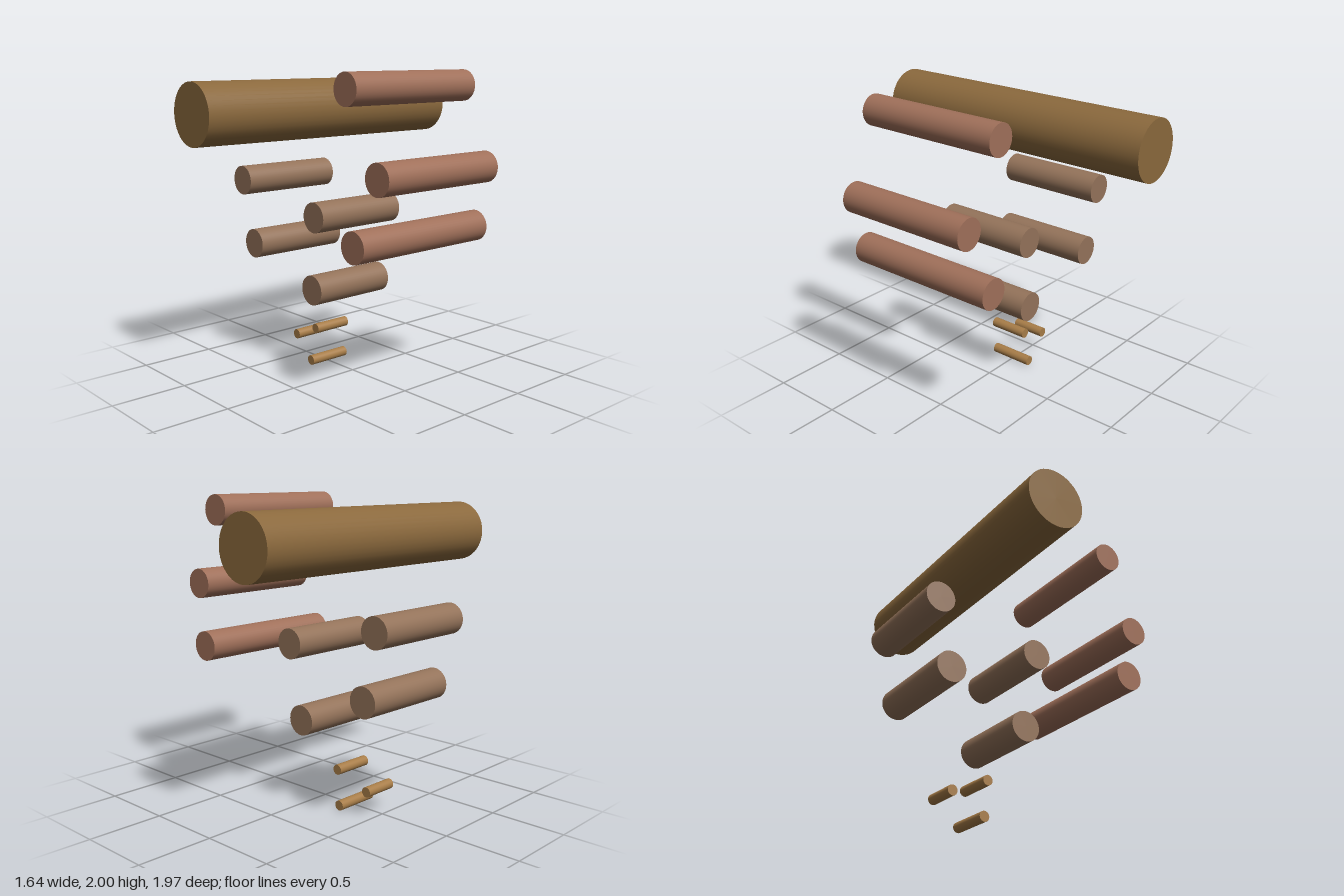
import * as THREE from 'three';

// Each group of rods shares a radius and colour; rods are [x, y, length], lying along z.
const families = [
  { name: 'largeLog', radius: 0.196, color: 0x8b693d, rods: [[-0.328, 1.741, 1.966]] },
  {
    name: 'longRod', radius: 0.098, color: 0xa0705a,
    rods: [[0.492, 1.902, 0.984], [0.72, 1.413, 0.915], [0.59, 1.018, 1.047]],
  },
  {
    name: 'shortRod', radius: 0.098, color: 0x94735a,
    rods: [[-0.722, 1.249, 0.722], [0, 1.085, 0.656], [-0.624, 0.823, 0.688], [-0.066, 0.595, 0.587]],
  },
  {
    name: 'smallPeg', radius: 0.033, color: 0xa87d48,
    rods: [[-0.23, 0.266, 0.264], [-0.46, 0.168, 0.228], [-0.262, 0.036, 0.296]],
  },
];

export function createModel() {
  const model = new THREE.Group();
  model.name = 'floatingRods';
  for (const { name, radius, color, rods } of families) {
    const group = new THREE.Group();
    group.name = name + 'Group';
    const material = new THREE.MeshStandardMaterial({ color });
    rods.forEach(([x, y, length], i) => {
      const geometry = new THREE.CylinderGeometry(radius, radius, length, 40).rotateX(Math.PI / 2);
      const rod = new THREE.Mesh(geometry, material);
      rod.name = name + (i + 1);
      rod.position.set(x, y, 0);
      group.add(rod);
    });
    model.add(group);
  }
  return model;
}
